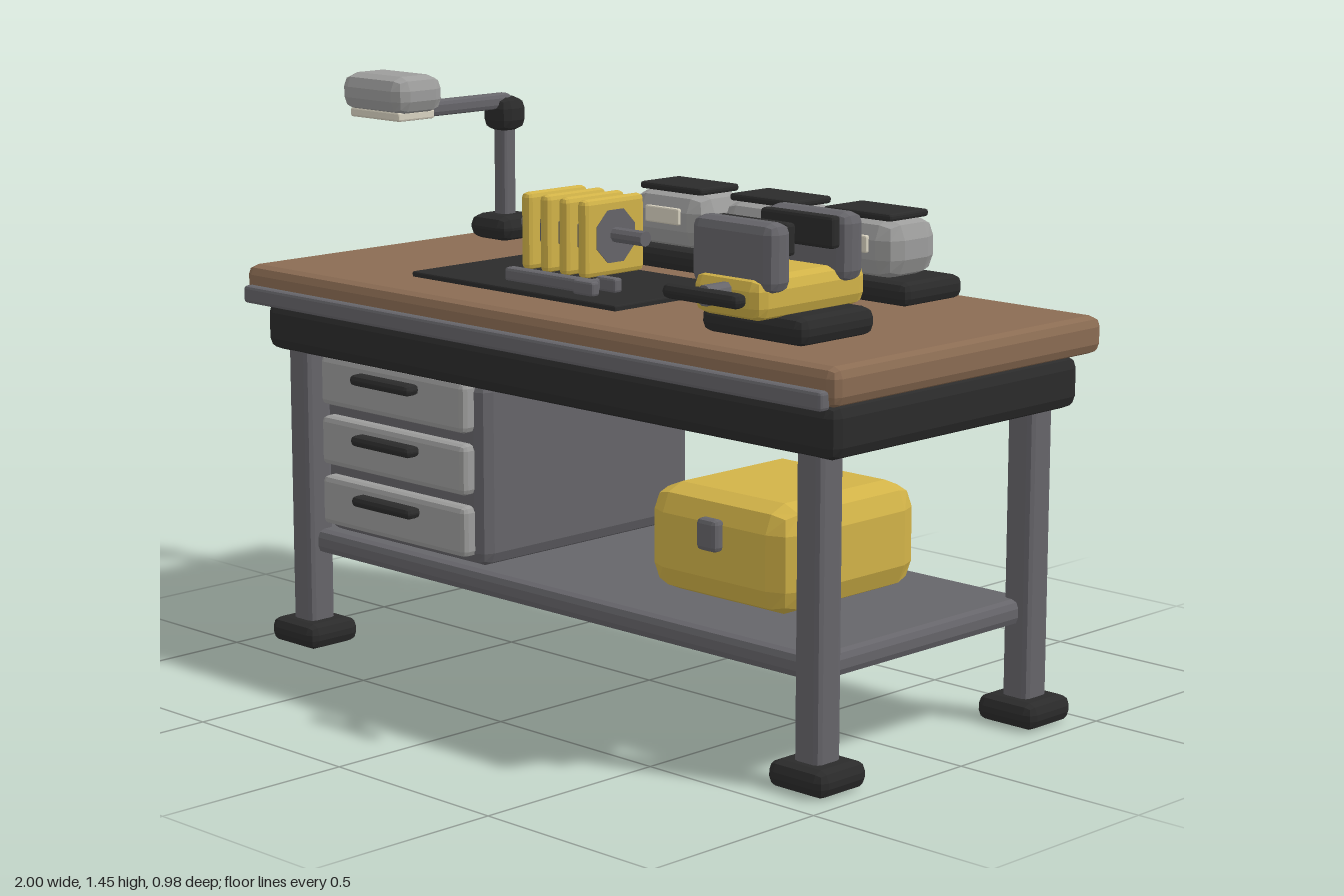
import * as THREE from 'three';
import { RoundedBoxGeometry } from 'three/addons/geometries/RoundedBoxGeometry.js';

const material = (name, color) => {
  const m = new THREE.MeshStandardMaterial({ color });
  m.name = name;
  return m;
};

export function createModel() {
  const wood = material('wood', 0x8b6c53);
  const black = material('black rubber', 0x2b2b2b);
  const steel = material('steel grey', 0x66656a);
  const light = material('light grey', 0x9d9d9c);
  const yellow = material('yellow', 0xd2b348);
  const cream = material('cream', 0xd9d3c1);

  const model = new THREE.Group();
  model.name = 'workbench';
  const group = (name) => {
    const g = new THREE.Group();
    g.name = name;
    model.add(g);
    return g;
  };

  // Bevelled box given by its extents [min, max] on each axis, with faceted edges
  const box = (parent, name, mat, [x0, x1], [y0, y1], [z0, z1], bevel = 0.015) => {
    const w = x1 - x0, h = y1 - y0, d = z1 - z0;
    const r = Math.min(bevel, Math.min(w, h, d) * 0.48);
    const geometry = new RoundedBoxGeometry(w, h, d, 1, r);
    geometry.computeVertexNormals();
    const mesh = new THREE.Mesh(geometry, mat);
    mesh.name = name;
    mesh.position.set((x0 + x1) / 2, (y0 + y1) / 2, (z0 + z1) / 2);
    parent.add(mesh);
    return mesh;
  };
  // Faceted rod along x or z
  const rod = (parent, name, mat, radius, length, sides, axis, pos) => {
    let geometry = new THREE.CylinderGeometry(radius, radius, length, sides);
    geometry.rotateY(Math.PI / sides);
    if (axis === 'x') geometry.rotateZ(Math.PI / 2);
    else geometry.rotateX(Math.PI / 2);
    geometry = geometry.toNonIndexed();
    geometry.computeVertexNormals();
    const mesh = new THREE.Mesh(geometry, mat);
    mesh.name = name;
    mesh.position.set(...pos);
    parent.add(mesh);
  };
  const span = (centre, size) => [centre - size / 2, centre + size / 2];

  // Table frame
  const table = group('table');
  box(table, 'tabletop', wood, [-1, 1], [0.89, 0.98], [-0.49, 0.445], 0.025);
  box(table, 'frontRail', steel, [-0.98, 0.98], [0.886, 0.93], [0.435, 0.468], 0.008);
  box(table, 'apron', black, [-0.967, 0.967], [0.762, 0.888], [-0.45, 0.41], 0.03);
  box(table, 'shelf', steel, [-0.88, 0.88], [0.24, 0.302], [-0.4, 0.36], 0.02);
  for (const x of [-0.871, 0.871]) {
    for (const z of [-0.386, 0.346]) {
      box(table, 'leg', steel, span(x, 0.076), [0.04, 0.79], span(z, 0.08), 0.015);
      box(table, 'foot', black, span(x, 0.17), [0, 0.065], span(z, 0.16), 0.025);
    }
  }

  // Drawer cabinet
  const cabinet = group('drawerCabinet');
  box(cabinet, 'cabinetBody', steel, [-0.813, -0.217], [0.305, 0.775], [-0.37, 0.35], 0.035);
  for (let i = 0; i < 3; i++) {
    const y = 0.395 + i * 0.154;
    box(cabinet, 'drawerFront', light, [-0.785, -0.25], span(y, 0.126), [0.325, 0.385], 0.015);
    box(cabinet, 'drawerHandle', black, [-0.628, -0.41], span(y + 0.026, 0.028), [0.38, 0.425], 0.012);
  }

  // Storage case on the shelf
  const storage = group('storageCase');
  box(storage, 'caseBody', yellow, [0.176, 0.636], [0.302, 0.565], [-0.283, 0.197], 0.065);
  box(storage, 'caseLatch', steel, span(0.406, 0.064), [0.437, 0.515], [0.19, 0.225], 0.012);

  // Work mat with a finned rotor and a spanner
  const work = group('workMat');
  box(work, 'mat', black, [-0.555, 0.16], [0.976, 0.993], [-0.14, 0.274], 0.004);
  rod(work, 'rotorCore', steel, 0.07, 0.24, 8, 'x', [-0.23, 1.1, 0.004]);
  rod(work, 'rotorShaft', steel, 0.019, 0.42, 10, 'x', [-0.218, 1.103, 0.004]);
  for (let i = 0; i < 4; i++) {
    box(work, 'rotorFin', yellow, span(-0.326 + i * 0.066, 0.032), [1.003, 1.195], [-0.098, 0.106], 0.013);
  }
  box(work, 'spannerHandle', steel, [-0.297, -0.012], [0.99, 1.025], [0.169, 0.203], 0.008);
  for (const z of [0.148, 0.224]) {
    box(work, 'spannerProng', steel, [-0.022, 0.045], [0.995, 1.03], span(z, 0.026), 0.006);
  }
  box(work, 'spannerJaw', steel, [-0.022, -0.006], [0.995, 1.025], [0.145, 0.227], 0.006);

  // Tray with three canisters
  const tray = group('canisterTray');
  box(tray, 'tray', black, [-0.358, 0.61], [0.978, 1.036], [-0.452, -0.238], 0.02);
  for (const x of [-0.193, 0.118, 0.428]) {
    box(tray, 'canister', light, span(x, 0.256), [1.03, 1.177], [-0.431, -0.247], 0.05);
    box(tray, 'canisterLid', black, span(x, 0.212), [1.172, 1.19], [-0.408, -0.268], 0.006);
    box(tray, 'canisterLabel', cream, span(x, 0.116), [1.096, 1.138], [-0.25, -0.237], 0.004);
  }

  // Bench vise
  const vise = group('vise');
  const vx = 0.631;
  box(vise, 'viseBase', black, span(vx, 0.315), [0.978, 1.045], [0.066, 0.318], 0.025);
  box(vise, 'viseBody', yellow, span(vx, 0.21), [1.038, 1.136], [0.038, 0.4], 0.03);
  for (const [z, pad] of [[0.107, 0.154], [0.347, 0.302]]) {
    box(vise, 'viseJaw', steel, span(vx, 0.25), [1.1, 1.257], span(z, 0.072), 0.025);
    box(vise, 'viseJawPad', black, span(vx, 0.22), [1.178, 1.252], span(pad, 0.03), 0.008);
  }
  rod(vise, 'viseScrew', steel, 0.024, 0.44, 10, 'z', [vx, 1.097, 0.245]);
  box(vise, 'viseHandle', black, span(vx, 0.23), span(1.097, 0.034), [0.445, 0.485], 0.014);

  // Desk lamp
  const lamp = group('lamp');
  const lx = -0.861, lz = -0.325;
  box(lamp, 'lampBase', black, span(lx, 0.145), [0.978, 1.045], span(lz, 0.145), 0.03);
  box(lamp, 'lampPole', steel, span(lx, 0.044), [1.02, 1.3], span(lz, 0.044), 0.01);
  box(lamp, 'lampJoint', black, span(lx, 0.092), [1.265, 1.356], span(lz, 0.092), 0.03);
  box(lamp, 'lampArm', steel, span(lx, 0.042), [1.324, 1.365], [-0.335, 0.04], 0.012);
  box(lamp, 'lampHead', light, span(lx, 0.238), [1.348, 1.445], [-0.014, 0.143], 0.035);
  box(lamp, 'lampLens', cream, span(lx, 0.188), [1.332, 1.356], [0.004, 0.126], 0.005);

  return model;
}
